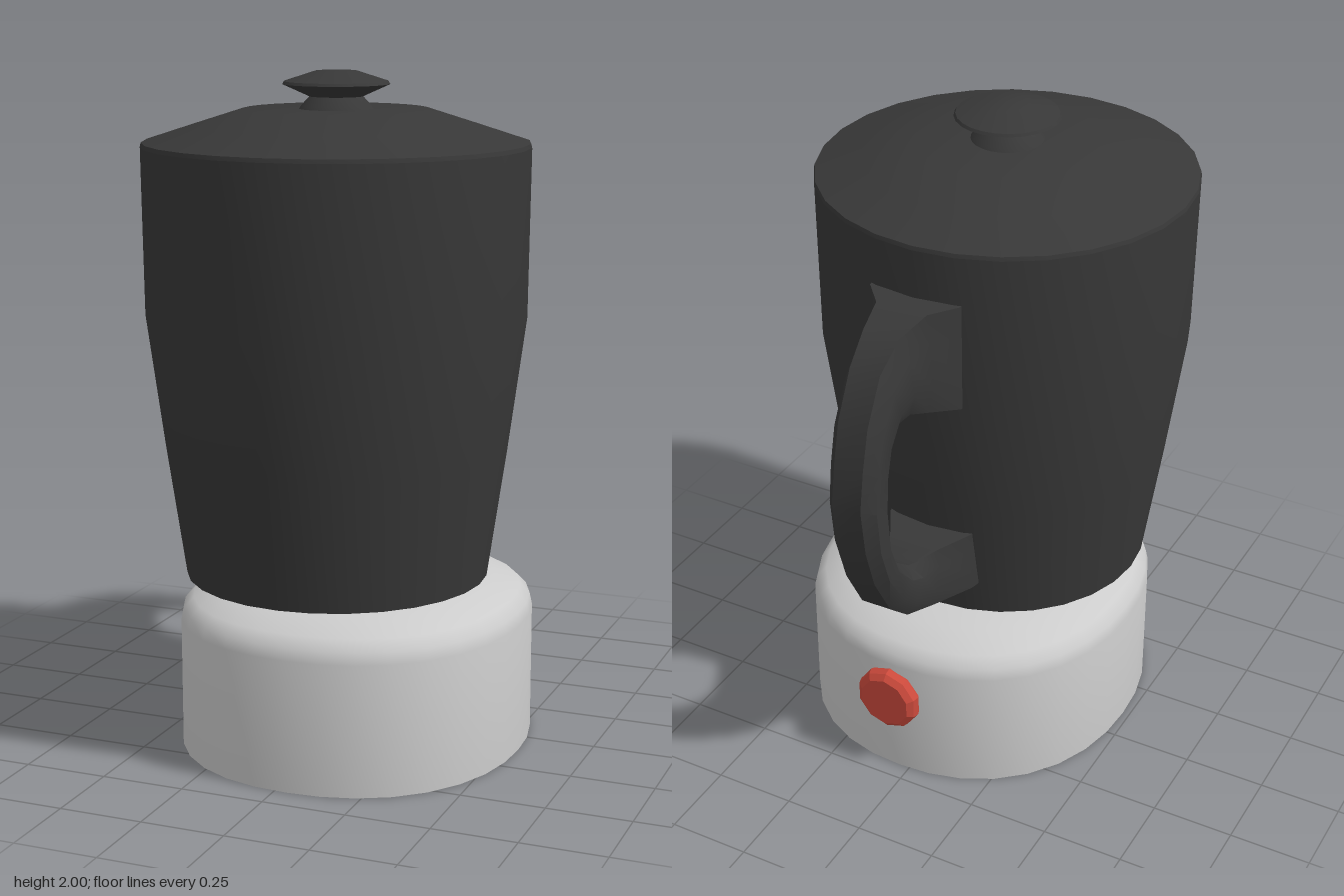
import * as THREE from 'three';
import { toCreasedNormals } from 'three/addons/utils/BufferGeometryUtils.js';

const dark = new THREE.MeshStandardMaterial({ color: 0x383838 });
const grey = new THREE.MeshStandardMaterial({ color: 0xcccccc });
const red = new THREE.MeshStandardMaterial({ color: 0xcc4a3c });

function part(name, geometry, material, crease = 0.6) {
  const mesh = new THREE.Mesh(toCreasedNormals(geometry, crease), material);
  mesh.name = name;
  return mesh;
}

// Profile is a list of [radius, height], from bottom to top
const lathe = (profile, sides) =>
  new THREE.LatheGeometry(profile.map(([r, y]) => new THREE.Vector2(r, y)), sides);

// Turns a round geometry of radius 1 into a slightly squared oval
function squareOff(geometry, rx, rz, n) {
  const p = geometry.attributes.position;
  for (let i = 0; i < p.count; i++) {
    const x = p.getX(i), z = p.getZ(i), r = Math.hypot(x, z);
    if (r < 1e-6) continue;
    const k = Math.pow(Math.abs(x / r) ** n + Math.abs(z / r) ** n, -1 / n);
    p.setX(i, x * k * rx);
    p.setZ(i, z * k * rz);
  }
  return geometry;
}

// Handle swept through sections: [outer z, outer y, inner z, inner y, half width, edge width factor]
function handleGeometry() {
  const sections = [
    [-0.31, 1.64, -0.31, 1.31, 0.145, 1],
    [-0.36, 1.64, -0.35, 1.31, 0.14, 1],
    [-0.43, 1.635, -0.42, 1.32, 0.088, 0.9],
    [-0.54, 1.61, -0.49, 1.345, 0.08, 0.7],
    [-0.63, 1.54, -0.55, 1.34, 0.078, 0.6],
    [-0.70, 1.41, -0.60, 1.28, 0.076, 0.6],
    [-0.73, 1.29, -0.62, 1.2, 0.075, 0.6],
    [-0.75, 1.17, -0.62, 1.1, 0.075, 0.6],
    [-0.73, 1.02, -0.61, 0.98, 0.075, 0.6],
    [-0.69, 0.89, -0.57, 0.89, 0.076, 0.6],
    [-0.61, 0.75, -0.5, 0.835, 0.078, 0.6],
    [-0.53, 0.68, -0.45, 0.825, 0.08, 0.7],
    [-0.42, 0.65, -0.39, 0.83, 0.088, 0.9],
    [-0.28, 0.64, -0.29, 0.84, 0.135, 1],
    [-0.23, 0.64, -0.23, 0.84, 0.145, 1],
  ];
  // Ring corners: [side factor, outer-to-inner position, lies on an edge]
  const ring = [[1, 0, 1], [-1, 0, 1], [-1, 0.28, 0], [-1, 0.72, 0],
    [-1, 1, 1], [1, 1, 1], [1, 0.72, 0], [1, 0.28, 0]];
  const pos = [], index = [], n = ring.length;
  sections.forEach(([oz, oy, iz, iy, w, f], i) => {
    ring.forEach(([side, t, edge], j) => {
      pos.push(side * w * (edge ? f : 1), oy + (iy - oy) * t, oz + (iz - oz) * t);
      if (i === sections.length - 1) return;
      const a = i * n + j, b = i * n + (j + 1) % n;
      index.push(a, a + n, b, b, a + n, b + n);
    });
  });
  const g = new THREE.BufferGeometry();
  g.setAttribute('position', new THREE.Float32BufferAttribute(pos, 3));
  g.setIndex(index);
  return g;
}

export function createModel() {
  const model = new THREE.Group();

  // Heating base with rounded shoulder
  const baseShape = lathe([[0, 0], [1, 0], [1, 0.39], [0.985, 0.425], [0.93, 0.455],
    [0.78, 0.487], [0.63, 0.51], [0, 0.513]], 32);
  const base = part('base', squareOff(baseShape, 0.513, 0.555, 2.2), grey);
  base.position.set(0.035, 0, 0.11);
  model.add(base);

  // Round switch on the back of the base
  const button = part('button', lathe([[0.085, 0], [0.105, 0.05], [0.1, 0.07],
    [0.082, 0.085], [0, 0.085]], 10), red, 0.3);
  button.rotation.x = -Math.PI / 2;
  button.position.set(0.06, 0.27, -0.4);
  model.add(button);

  // Jug with its lid and knob
  const jug = new THREE.Group();
  jug.name = 'jug';
  jug.position.z = 0.19;
  jug.add(
    part('jugBody', lathe([[0, 0.525], [0.447, 0.525], [0.503, 0.91], [0.555, 1.3],
      [0.561, 1.785]], 28), dark),
    part('lid', lathe([[0.561, 1.785], [0.558, 1.797], [0.42, 1.842], [0.27, 1.89],
      [0, 1.89]], 28), dark),
    part('knob', lathe([[0.11, 1.885], [0.1, 1.9], [0.077, 1.925], [0.155, 1.96],
      [0.15, 1.968], [0.06, 1.997], [0, 2]], 24), dark),
  );
  model.add(jug);

  // Handle at the back of the jug
  model.add(part('handle', handleGeometry(), dark, 0.7));
  return model;
}
